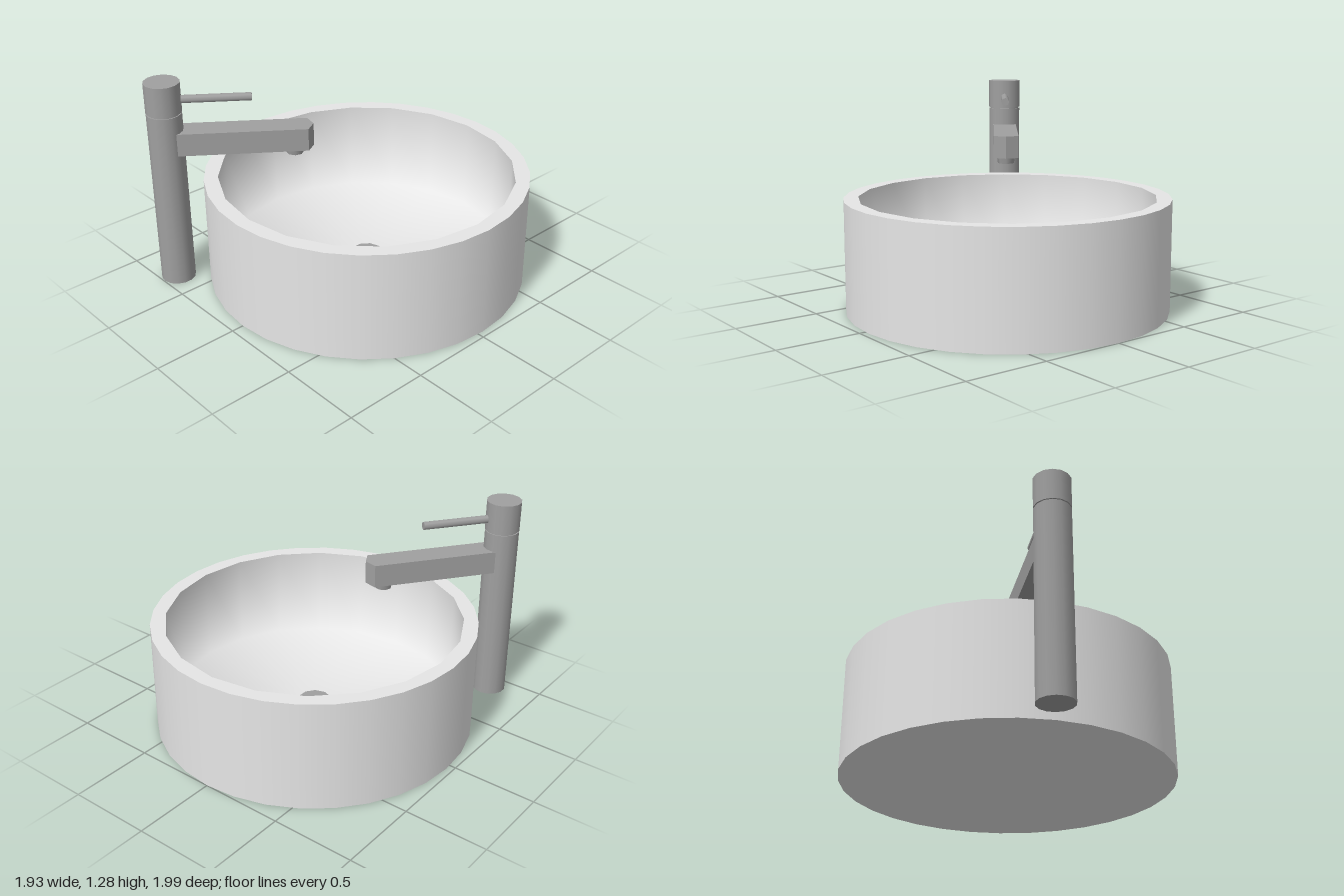
import * as THREE from 'three';

export function createModel() {
  const model = new THREE.Group();
  const ceramic = new THREE.MeshStandardMaterial({ color: 0xe6e6e6 });
  ceramic.name = 'ceramic';
  const metal = new THREE.MeshStandardMaterial({ color: 0xa0a0a0 });
  metal.name = 'metal';

  const add = (parent, name, geometry, material, x = 0, y = 0, z = 0) => {
    const mesh = new THREE.Mesh(geometry, material);
    mesh.name = name;
    mesh.position.set(x, y, z);
    parent.add(mesh);
    return mesh;
  };
  const lathe = (points, sides) =>
    new THREE.LatheGeometry(points.map(([r, y]) => new THREE.Vector2(r, y)), sides);
  const ring = (r, sides) => Array.from({ length: sides }, (_, i) => {
    const a = (i / sides) * Math.PI * 2;
    return new THREE.Vector2(Math.sin(a) * r, Math.cos(a) * r);
  });

  // Basin: straight outer wall, flat rim, upright inner wall and a floor falling to the drain
  const R = 0.963, INNER = 0.88, H = 0.668, OUT = 32, IN = 20;
  const basin = new THREE.Group();
  basin.name = 'basin';
  basin.position.z = -0.036;
  model.add(basin);
  add(basin, 'outerWall', lathe([[R, 0], [R, H]], OUT), ceramic);
  add(basin, 'underside', new THREE.CircleGeometry(R, OUT).rotateX(Math.PI / 2), ceramic);
  const rim = new THREE.Shape(ring(R, OUT));
  rim.holes.push(new THREE.Path(ring(INNER, IN)));
  add(basin, 'rim', new THREE.ShapeGeometry(rim).rotateX(-Math.PI / 2), ceramic, 0, H);
  add(basin, 'bowl', lathe([[INNER, H], [INNER, 0.1], [0.1, 0.08]], IN), ceramic);
  add(basin, 'drain', new THREE.CylinderGeometry(0.103, 0.103, 0.02, 10), metal, 0, 0.077);

  // Tap: local +x runs along the spout towards the basin
  const tap = new THREE.Group();
  tap.name = 'tap';
  tap.position.set(-0.691, 0, 0.892);
  tap.rotation.y = Math.atan2(0.8, 0.6);
  model.add(tap);
  add(tap, 'column', new THREE.CylinderGeometry(0.103, 0.103, 1.092, 14), metal, 0, 0.546);
  add(tap, 'neck', new THREE.CylinderGeometry(0.096, 0.096, 0.014, 14), metal, 0, 1.096);
  add(tap, 'cap', new THREE.CylinderGeometry(0.104, 0.104, 0.18, 14), metal, 0, 1.19);

  // Flat-sided spout with a shallow pointed end
  const outline = new THREE.Shape([[0, -0.077], [0.812, -0.077], [0.846, 0], [0.812, 0.077], [0, 0.077]]
    .map(([x, y]) => new THREE.Vector2(x, y)));
  const spout = new THREE.ExtrudeGeometry(outline, { depth: 0.137, bevelEnabled: false });
  add(tap, 'spout', spout.rotateX(-Math.PI / 2), metal, 0, 0.847);
  add(tap, 'aerator', new THREE.CylinderGeometry(0.058, 0.05, 0.045, 8), metal, 0.735, 0.829);

  // Thin lever
  add(tap, 'lever', new THREE.CylinderGeometry(0.025, 0.025, 0.44, 8).rotateZ(Math.PI / 2), metal, 0.28, 1.17);

  return model;
}
